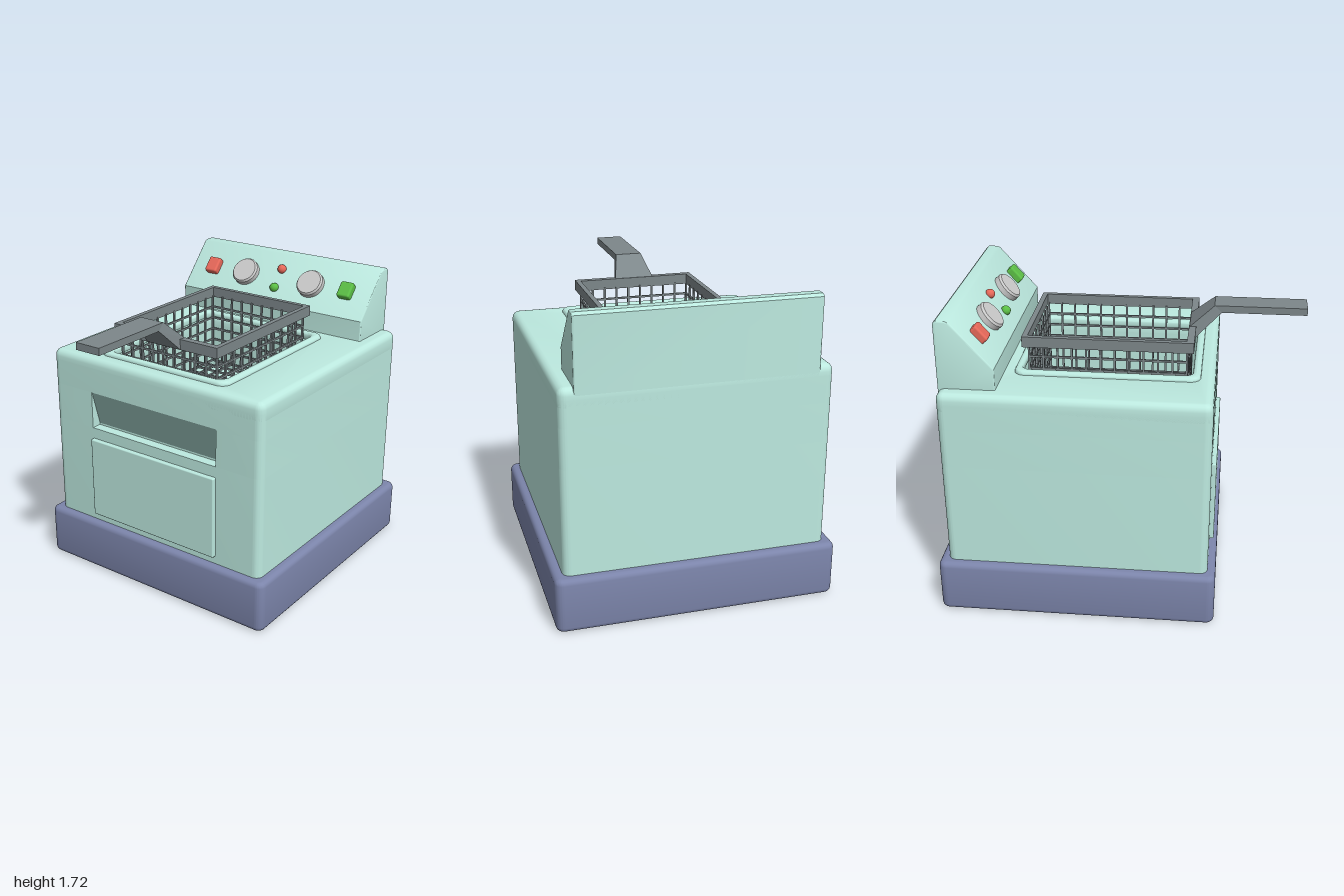
import * as THREE from 'three';
import { mergeGeometries, toCreasedNormals } from 'three/addons/utils/BufferGeometryUtils.js';
import { RoundedBoxGeometry } from 'three/addons/geometries/RoundedBoxGeometry.js';

const mat = (color, extra = {}) => new THREE.MeshStandardMaterial({ color, ...extra });
const mint = mat(0xbdeae0);
const slotMint = mat(0x8fb5ae);
const blue = mat(0x7c85ab);
const steel = mat(0x7d878a, { flatShading: true });
const silver = mat(0xc0c0c0);
const red = mat(0xe8695a);
const green = mat(0x5cc046);

function add(parent, name, geometry, material, x = 0, y = 0, z = 0) {
  const mesh = new THREE.Mesh(geometry, material);
  mesh.name = name;
  mesh.position.set(x, y, z);
  parent.add(mesh);
  return mesh;
}

// Rounded rectangle in plan: half width w, from z0 (back) to z1 (front); shape y is -z.
// An optional notch is cut into the front edge.
function plan(Type, w, z0, z1, r, notch) {
  const s = new Type();
  const a = -z1, b = -z0, q = Math.PI / 2;
  s.moveTo(-w + r, a);
  if (notch) {
    s.lineTo(-notch.w, a);
    s.lineTo(-notch.w, a + notch.d);
    s.lineTo(notch.w, a + notch.d);
    s.lineTo(notch.w, a);
  }
  s.lineTo(w - r, a);
  s.absarc(w - r, a + r, r, -q, 0);
  s.lineTo(w, b - r);
  s.absarc(w - r, b - r, r, 0, q);
  s.lineTo(-w + r, b);
  s.absarc(-w + r, b - r, r, q, 2 * q);
  s.lineTo(-w, a + r);
  s.absarc(-w + r, a + r, r, 2 * q, 3 * q);
  return s;
}

// Extrude a plan upwards from y0 to y1, with edges rounded inwards by bevel
function slab(shape, y0, y1, bevel = 0) {
  const g = new THREE.ExtrudeGeometry(shape, {
    depth: y1 - y0 - 2 * bevel, curveSegments: 6,
    bevelEnabled: bevel > 0, bevelSize: bevel, bevelThickness: bevel,
    bevelOffset: -bevel, bevelSegments: 4,
  });
  g.rotateX(-Math.PI / 2);
  g.translate(0, y0 + bevel, 0);
  return toCreasedNormals(g, 0.7);
}

// Extrude a side profile of [z, y] points across the width
function sideProfile(points, width, bevel = 0) {
  const shape = new THREE.Shape(points.map(([z, y]) => new THREE.Vector2(-z, y)));
  const g = new THREE.ExtrudeGeometry(shape, {
    depth: width - 2 * bevel, bevelEnabled: bevel > 0, bevelSize: bevel,
    bevelThickness: bevel, bevelOffset: -bevel, bevelSegments: 3,
  });
  g.translate(0, 0, -width / 2 + bevel);
  g.rotateY(Math.PI / 2);
  return toCreasedNormals(g, 0.6);
}

function buildBody(group) {
  const body = new THREE.Group();
  body.name = 'body';
  group.add(body);
  const walls = (y0, y1, bevel, notch) => {
    const s = plan(THREE.Shape, 0.73, -0.95, 0.515, 0.045, notch);
    s.holes.push(plan(THREE.Path, 0.39, -0.545, 0.39, 0.05));
    return slab(s, y0, y1, bevel);
  };
  // Walls around the oil well, with a slot cut in the front
  add(body, 'lowerWalls', walls(0.28, 0.91), mint);
  add(body, 'slotWalls', walls(0.91, 1.13, 0, { w: 0.44, d: 0.06 }), mint);
  add(body, 'upperWalls', walls(1.13, 1.28), mint);
  add(body, 'topEdge', walls(1.2, 1.34, 0.04), mint);
  add(body, 'wellFloor', new THREE.BoxGeometry(0.84, 0.04, 0.99), mint, 0, 0.98, -0.08);
  add(body, 'slotBack', sideProfile([[0.512, 1.13], [0.452, 1.13], [0.452, 0.91]], 0.88), slotMint);
  add(body, 'frontPanel', new RoundedBoxGeometry(0.88, 0.49, 0.06, 2, 0.008), mint, 0, 0.6, 0.51);

  // Raised lip around the well
  const lip = plan(THREE.Shape, 0.44, -0.585, 0.435, 0.06);
  lip.holes.push(plan(THREE.Path, 0.39, -0.545, 0.39, 0.05));
  add(body, 'wellLip', slab(lip, 1.31, 1.362, 0.018), mint);
}

function buildConsole(group) {
  const profile = [[-0.64, 1.28], [-0.64, 1.46], [-0.865, 1.712], [-0.885, 1.72],
    [-0.935, 1.72], [-0.95, 1.705], [-0.95, 1.28]];
  add(group, 'controlConsole', sideProfile(profile, 1.3, 0.008), mint);

  // Controls sit on the sloped face: local z points out of it
  const panel = new THREE.Group();
  panel.name = 'controls';
  panel.position.set(0, 1.588, -0.752);
  panel.rotation.x = -0.725;
  group.add(panel);
  const knob = new THREE.LatheGeometry([[0, -0.01], [0.085, -0.01], [0.085, 0.03], [0.076, 0.042], [0, 0.042]]
    .map(([r, y]) => new THREE.Vector2(r, y)), 32);
  knob.rotateX(Math.PI / 2);
  const knobGeo = toCreasedNormals(knob, 0.6);
  const button = new RoundedBoxGeometry(0.085, 0.1, 0.06, 3, 0.012);
  const lamp = new THREE.SphereGeometry(0.028, 20, 12);
  for (const side of [-1, 1]) {
    add(panel, side < 0 ? 'rightKnob' : 'leftKnob', knobGeo, silver, side * 0.237, 0, 0);
    add(panel, side < 0 ? 'redButton' : 'greenButton', button, side < 0 ? red : green, side * 0.485, 0, 0.01);
    add(panel, side < 0 ? 'greenLamp' : 'redLamp', lamp, side < 0 ? green : red, 0, side * 0.065, 0.006);
  }
}

function buildBasket(group) {
  const basket = new THREE.Group();
  basket.name = 'basket';
  group.add(basket);

  // Rectangular top frame
  const frame = plan(THREE.Shape, 0.357, -0.548, 0.392, 0.001);
  frame.holes.push(plan(THREE.Path, 0.328, -0.518, 0.352, 0.001));
  add(basket, 'basketFrame', slab(frame, 1.47, 1.53), steel);

  // Wire mesh: walls on four sides and a floor
  const X = 0.33, Z0 = -0.513, Z1 = 0.355, Y0 = 1.05, Y1 = 1.48, t = 0.011;
  const nx = 9, nz = 11, ny = 6, zm = (Z0 + Z1) / 2, ym = (Y0 + Y1) / 2;
  const wires = [];
  const wire = (sx, sy, sz, x, y, z) => wires.push(new THREE.BoxGeometry(sx, sy, sz).translate(x, y, z));
  for (let i = 0; i <= nx; i++) {
    const x = -X + (2 * X * i) / nx;
    wire(t, t, Z1 - Z0, x, Y0, zm);
    for (const z of [Z0, Z1]) wire(t, Y1 - Y0, t, x, ym, z);
  }
  for (let i = 0; i <= nz; i++) {
    const z = Z0 + ((Z1 - Z0) * i) / nz;
    wire(2 * X, t, t, 0, Y0, z);
    for (const x of [-X, X]) wire(t, Y1 - Y0, t, x, ym, z);
  }
  for (let i = 1; i < ny; i++) {
    const y = Y0 + ((Y1 - Y0) * i) / ny;
    for (const z of [Z0, Z1]) wire(2 * X, t, t, 0, y, z);
    for (const x of [-X, X]) wire(t, t, Z1 - Z0, x, y, zm);
  }
  add(basket, 'wireMesh', mergeGeometries(wires), steel);

  // Handle: a bar bent down and widened where it meets the frame
  const stations = [
    { w: 0.115, top: [1.53, 0.355], bottom: [1.47, 0.392] },
    { w: 0.077, top: [1.645, 0.49], bottom: [1.605, 0.53] },
    { w: 0.077, top: [1.645, 1], bottom: [1.605, 1] },
  ];
  const handle = new THREE.BoxGeometry(2, 2, 2, 1, 1, 2);
  const p = handle.attributes.position;
  for (let i = 0; i < p.count; i++) {
    const s = stations[Math.round(p.getZ(i)) + 1];
    const [y, z] = p.getY(i) > 0 ? s.top : s.bottom;
    p.setXYZ(i, p.getX(i) * s.w, y, z);
  }
  handle.computeVertexNormals();
  add(basket, 'basketHandle', handle, steel);
}

export function createModel() {
  const group = new THREE.Group();
  group.name = 'deepFryer';
  add(group, 'base', slab(plan(THREE.Shape, 0.78, -1, 0.56, 0.045), 0, 0.31, 0.03), blue);
  buildBody(group);
  buildConsole(group);
  buildBasket(group);
  return group;
}
